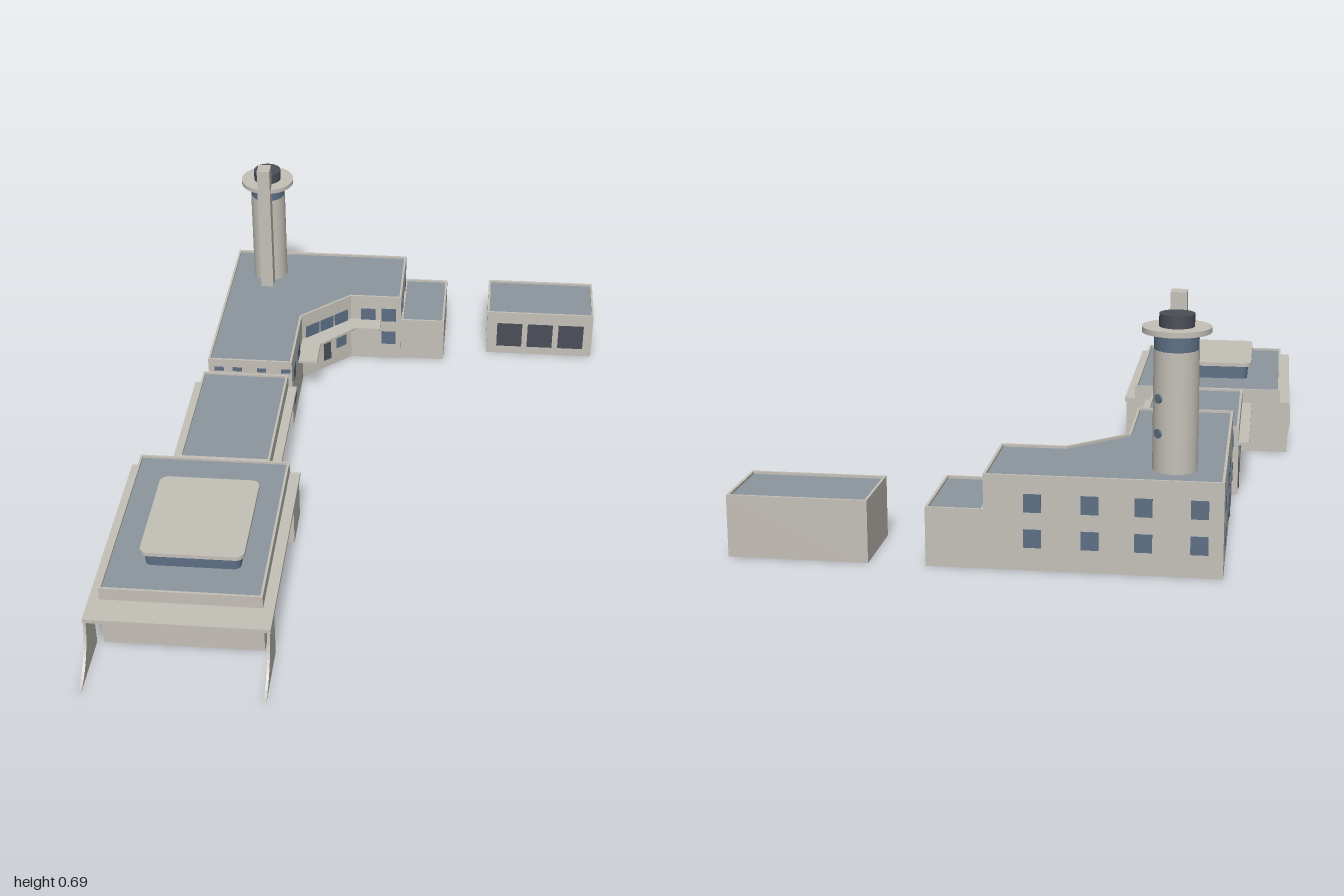
import * as THREE from 'three';

const mat = (name, color) => Object.assign(new THREE.MeshStandardMaterial({ color }), { name });

export function createModel() {
  const root = new THREE.Group();
  root.name = 'terminalBuilding';
  const wall = mat('wall', 0xc4c0b8);
  const roof = mat('roof', 0x8c969d);
  roof.side = THREE.DoubleSide;
  const glass = mat('glass', 0x5c6f84);
  const dark = mat('dark', 0x4a4e57);

  const add = (name, geo, m, x = 0, y = 0, z = 0, parent = root) => {
    const mesh = new THREE.Mesh(geo, m);
    mesh.name = name;
    mesh.position.set(x, y, z);
    parent.add(mesh);
    return mesh;
  };
  const box = (name, m, x0, x1, y0, y1, z0, z1) =>
    add(name, new THREE.BoxGeometry(x1 - x0, y1 - y0, z1 - z0), m, (x0 + x1) / 2, (y0 + y1) / 2, (z0 + z1) / 2);

  // Plans are lists of [x, z]
  const rect = (x0, x1, z0, z1) => [[x0, z0], [x1, z0], [x1, z1], [x0, z1]];
  const shapeOf = (pts) => new THREE.Shape(pts.map((p) => new THREE.Vector2(...p)));
  const inset = (pts, d) => pts.map((p, i) => {
    const a = pts[(i + pts.length - 1) % pts.length], b = pts[(i + 1) % pts.length];
    const n = (s, e) => new THREE.Vector2(s[1] - e[1], e[0] - s[0]).normalize();
    const n1 = n(a, p), n2 = n(p, b);
    const m = n1.clone().add(n2).multiplyScalar(d / (1 + n1.dot(n2)));
    return [p[0] + m.x, p[1] + m.y];
  });
  const slab = (name, m, shape, y0, y1) => {
    const g = new THREE.ExtrudeGeometry(shape, { depth: y1 - y0, bevelEnabled: false, curveSegments: 6 });
    g.rotateX(Math.PI / 2);
    return add(name, g, m, 0, y1, 0);
  };
  const ring = (outer, inner) => {
    const s = shapeOf(outer);
    s.holes.push(shapeOf(inner));
    return s;
  };
  // Open-bottomed block: thin walls with a parapet and a sunken roof
  const block = (name, plan, h) => {
    slab(name + 'Walls', wall, ring(plan, inset(plan, 0.007)), 0, h);
    const g = new THREE.ShapeGeometry(shapeOf(inset(plan, 0.006)));
    g.rotateX(Math.PI / 2);
    g.index.array.reverse(); // face upward
    g.attributes.normal.array.forEach((v, i, a) => { a[i] = -v; });
    add(name + 'Roof', g, roof, 0, h - 0.007, 0);
  };
  // Thin pane with its outward normal turned by ry
  const pane = (name, m, x, y, z, w, h, ry = 0) => {
    add(name, new THREE.BoxGeometry(w, h, 0.006), m, x, y, z).rotation.y = ry;
  };
  const SIDE = Math.PI / 2, UP = 0.178, LOW = 0.085;

  // Main corner building, annex and garage
  const corner = [[-0.555, -1], [0.05, -1], [0.05, -0.715], [-0.125, -0.715], [-0.28, -0.57], [-0.28, -0.285], [-0.555, -0.285]];
  block('cornerBuilding', corner, 0.25);
  block('annex', rect(0.05, 0.2, -1, -0.72), 0.157);
  block('garage', rect(0.35, 0.72, -1, -0.78), 0.167);
  for (const x of [0.43, 0.537, 0.645]) pane('garageDoor', dark, x, 0.077, -0.78, 0.088, 0.092);

  // Entrance canopy wrapping the inner corner
  slab('entranceCanopy', wall, shapeOf([[-0.28, -0.435], [-0.215, -0.435], [-0.215, -0.545], [-0.105, -0.655],
    [-0.02, -0.655], [-0.02, -0.715], [-0.125, -0.715], [-0.28, -0.57]]), 0.148, 0.157);

  // Diagonal entrance face
  const diag = Math.atan2(0.145, 0.155);
  const onDiag = (name, m, t, y, w, h) => // t runs along the face from its centre
    pane(name, m, -0.2025 + t * Math.cos(diag), y, -0.6425 - t * Math.sin(diag), w, h, diag);
  for (const t of [-0.062, 0, 0.062]) onDiag('entranceUpperWindow', glass, t, UP, 0.055, 0.045);
  for (const t of [-0.062, 0.062]) onDiag('entranceLowerWindow', glass, t, LOW, 0.042, 0.048);
  onDiag('entranceDoor', dark, 0, 0.068, 0.03, 0.075);

  // Corner building windows
  pane('courtWindow', glass, -0.065, UP, -0.715, 0.05, 0.045);
  for (const y of [UP, LOW]) {
    pane('courtWindow', glass, 0.007, y, -0.715, 0.05, 0.05);
    pane('wingWindow', glass, -0.28, y, -0.34, 0.05, 0.05, SIDE);
    for (const x of [-0.075, -0.22, -0.355, -0.495]) pane('backWindow', glass, x, y, -1, 0.045, 0.048);
    for (const z of [-0.915, -0.72, -0.6, -0.345]) pane('outerWindow', glass, -0.555, y, z, 0.045, 0.048, SIDE);
  }
  pane('wingWindow', glass, -0.28, UP, -0.458, 0.055, 0.045, SIDE);
  for (const z of [-0.787, -0.925]) pane('gableWindow', glass, 0.05, 0.183, z, 0.05, 0.035, SIDE);
  pane('outerDoor', dark, -0.555, 0.06, -0.54, 0.03, 0.085, SIDE);
  for (const x of [-0.52, -0.46, -0.38, -0.3]) pane('frontSlotWindow', glass, x, 0.215, -0.285, 0.03, 0.014);

  // Linking wing with eaves
  const link = rect(-0.572, -0.293, -0.285, 0.18);
  block('linkWing', link, 0.2);
  const linkEave = (x0, x1) => box('linkEave', wall, x0, x1, 0.146, 0.156, -0.285, 0.18);
  linkEave(-0.602, -0.572);
  linkEave(-0.293, -0.265);
  for (const x of [-0.572, -0.293]) {
    pane('linkStripWindow', glass, x, 0.105, -0.025, 0.165, 0.05, SIDE);
    if (x > -0.5) pane('linkWindow', glass, x, 0.097, -0.192, 0.055, 0.05, SIDE);
    else pane('linkDoor', dark, x, 0.05, -0.24, 0.035, 0.085, SIDE);
  }

  // Front hall with its broad canopy
  const hall = rect(-0.69, -0.232, 0.18, 0.795);
  block('hall', hall, 0.2);
  slab('hallCanopy', wall, ring(rect(-0.72, -0.2, 0.18, 0.88), rect(-0.685, -0.237, 0.186, 0.79)), 0.148, 0.16);
  box('hallPorch', wall, -0.715, -0.69, 0, 0.15, 0.18, 0.32);
  box('hallPorch', wall, -0.232, -0.205, 0, 0.15, 0.18, 0.32);
  for (const x of [-0.69, -0.232])
    for (const z of [0.69, 0.55, 0.403])
      for (const d of [-0.038, 0, 0.038]) pane('hallSlotWindow', glass, x, 0.113, z + d, 0.026, 0.014, SIDE);

  // Flared fins carrying the canopy front
  const fin = new THREE.Shape();
  fin.moveTo(0.795, 0);
  fin.lineTo(1, 0);
  fin.bezierCurveTo(0.93, 0.015, 0.885, 0.08, 0.88, 0.15);
  fin.lineTo(0.795, 0.15);
  for (const x of [-0.718, -0.21]) {
    const g = new THREE.ExtrudeGeometry(fin, { depth: 0.008, bevelEnabled: false, curveSegments: 10 });
    g.rotateY(-Math.PI / 2);
    add('canopyFin', g, wall, x + 0.008, 0, 0);
  }
  // Small bowed rib on the outer porch corner
  const rib = new THREE.Shape();
  rib.moveTo(-0.715, 0.01);
  rib.lineTo(-0.715, 0.145);
  rib.quadraticCurveTo(-0.735, 0.08, -0.715, 0.01);
  add('porchRib', new THREE.ExtrudeGeometry(rib, { depth: 0.008, bevelEnabled: false }), wall, 0, 0, 0.31);

  // Rooftop clerestory with rounded cap
  const rounded = (x0, x1, z0, z1, r) => {
    const s = new THREE.Shape();
    s.absarc(x1 - r, z1 - r, r, 0, Math.PI / 2);
    s.absarc(x0 + r, z1 - r, r, Math.PI / 2, Math.PI);
    s.absarc(x0 + r, z0 + r, r, Math.PI, Math.PI * 1.5);
    s.absarc(x1 - r, z0 + r, r, Math.PI * 1.5, Math.PI * 2);
    return s;
  };
  slab('clerestoryGlass', glass, rounded(-0.582, -0.31, 0.352, 0.678, 0.02), 0.192, 0.236);
  slab('clerestoryCap', wall, rounded(-0.594, -0.298, 0.34, 0.69, 0.025), 0.235, 0.247);

  // Control tower
  const tower = new THREE.Group();
  tower.name = 'tower';
  tower.position.set(-0.423, 0, -0.866);
  root.add(tower);
  const drum = (name, m, r, y0, y1) =>
    add(name, new THREE.CylinderGeometry(r, r, y1 - y0, 32), m, 0, (y0 + y1) / 2, 0, tower);
  drum('towerShaft', wall, 0.058, 0.24, 0.556);
  drum('towerGlass', glass, 0.057, 0.556, 0.602);
  drum('towerDisc', wall, 0.088, 0.6, 0.614);
  drum('towerLantern', dark, 0.045, 0.614, 0.647);
  add('towerPylon', new THREE.BoxGeometry(0.042, 0.45, 0.05), wall, 0, 0.465, 0.075, tower);
  for (const y of [0.345, 0.435]) {
    const g = new THREE.CylinderGeometry(0.012, 0.012, 0.008, 16);
    g.rotateX(Math.PI / 2);
    add('towerPorthole', g, glass, 0.041, y, -0.041, tower).rotation.y = Math.PI * 0.75;
  }
  return root;
}
